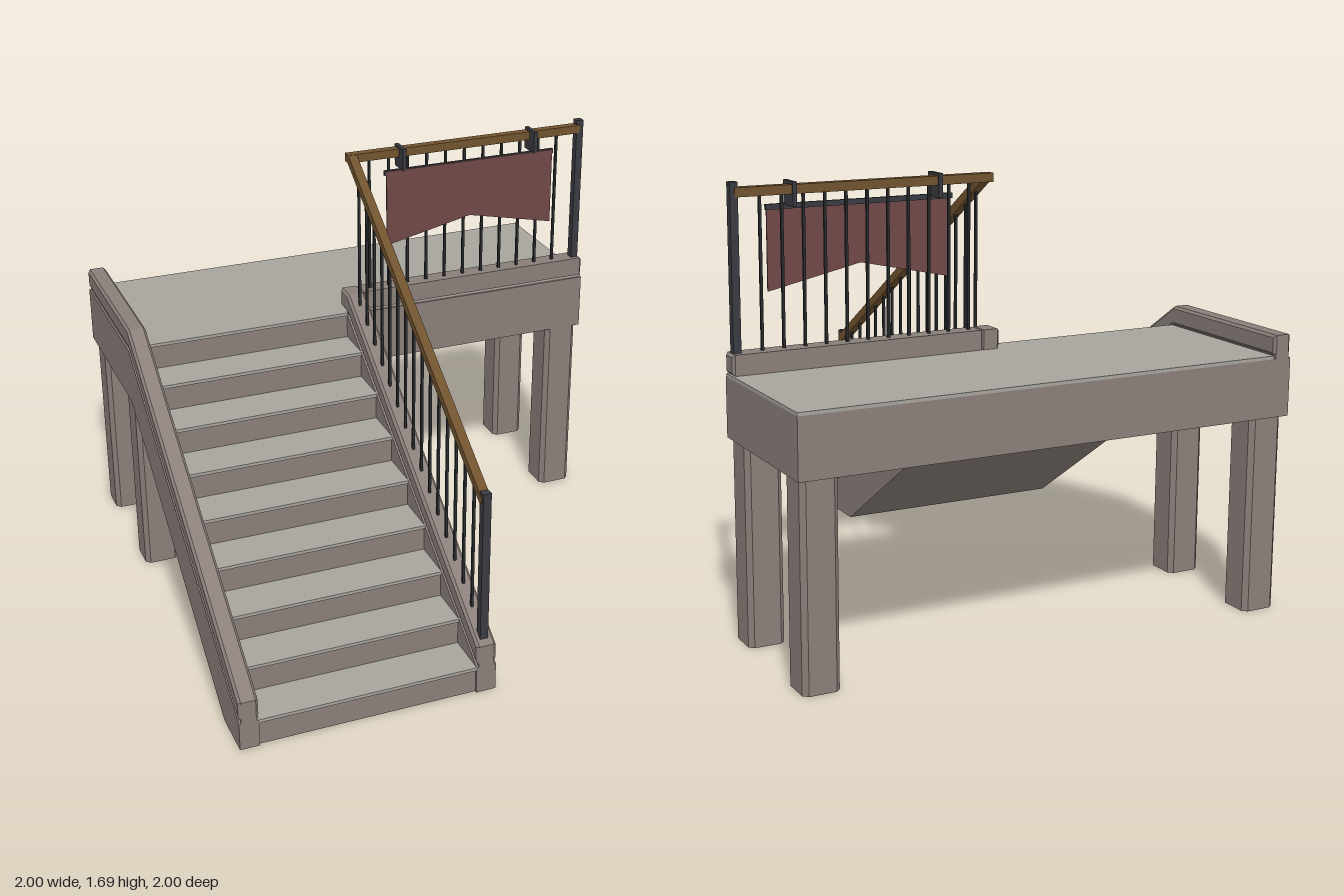
import * as THREE from 'three';

const flat = (name, color) => {
  const m = new THREE.MeshStandardMaterial({ color });
  m.name = name;
  return m;
};

export function createModel() {
  const stone = flat('stone', 0x8a7f7a);
  const paleStone = flat('paleStone', 0xa8a39d);
  const wood = flat('wood', 0x70532f);
  const steel = flat('steel', 0x3a3b41);
  const iron = flat('iron', 0x292b2d);
  const cloth = flat('cloth', 0x714848);
  cloth.side = THREE.DoubleSide;

  const model = new THREE.Group();
  model.name = 'stairAndLanding';

  const add = (name, geometry, material) => {
    const mesh = new THREE.Mesh(geometry, material);
    mesh.name = name;
    model.add(mesh);
    return mesh;
  };
  // Box given by its limits on each axis
  const box = (name, material, [x0, x1], [y0, y1], [z0, z1]) => {
    const mesh = add(name, new THREE.BoxGeometry(x1 - x0, y1 - y0, z1 - z0), material);
    mesh.position.set((x0 + x1) / 2, (y0 + y1) / 2, (z0 + z1) / 2);
    return mesh;
  };
  const shapeOf = (points) => new THREE.Shape(points.map(([a, b]) => new THREE.Vector2(a, b)));
  // Side profile of [z, y] points drawn out along x, with optional chamfer
  const alongX = (name, material, points, x0, x1, bevel = 0) => {
    const g = new THREE.ExtrudeGeometry(shapeOf(points), {
      depth: x1 - x0 - 2 * bevel, bevelEnabled: bevel > 0, bevelSize: bevel,
      bevelThickness: bevel, bevelOffset: -bevel, bevelSegments: 1,
    });
    g.rotateY(-Math.PI / 2).translate(x1 - bevel, 0, 0);
    return add(name, g, material);
  };

  const floorY = 1.003, under = 0.765, front = -0.34;
  const rise = floorY / 9, run = 0.1675, slabT = 0.013;
  const inL = -0.925, inR = -0.078; // inner faces of the side walls

  // Solid stair with sloping underside
  const stair = [[0.81, 0], [0.99, 0]];
  for (let k = 0; k < 8; k++) {
    const y = (k + 1) * rise - slabT;
    stair.push([0.99 - k * run, y], [k < 7 ? 0.99 - (k + 1) * run : front, y]);
  }
  stair.push([front, under]);
  alongX('stairBody', stone, stair, inL, inR);

  // Treads with a small overhang
  for (let k = 0; k < 8; k++) {
    const y = (k + 1) * rise;
    box('tread', paleStone, [inL, inR], [y - slabT, y], [k < 7 ? 0.99 - (k + 1) * run : front, 1 - k * run]);
  }
  box('topNosing', paleStone, [inL, inR], [floorY - slabT, floorY], [-0.348, -0.33]);

  // Side walls: chamfered cap, thin groove and main wall below
  const topLine = (drop, end) => [[1, 0.2 - drop], [-0.335, 1.08 - drop], [end, 1.08 - drop]];
  const band = (a, b, end) => [...topLine(a, end), ...topLine(b, end).reverse()];
  const sideWall = (x0, x1, end) => {
    alongX('wallCap', stone, band(0, 0.077, end), x0, x1, 0.01);
    alongX('wallGroove', stone, band(0.07, 0.095, end), x0 + 0.008, x1 - 0.008);
    alongX('wallBody', stone,
      [...topLine(0.09, end), [end, under], [front, under], [0.81, 0], [1, 0]], x0, x1);
  };
  sideWall(-1, inL, -1);
  sideWall(inR, 0, -0.415);

  // Landing: rim beams around a recess, slab and floor
  const rim = shapeOf([[inL, 0.34], [1, 0.34], [1, 1], [inL, 1]]);
  rim.holes.push(new THREE.Path([[-0.86, 0.48], [-0.86, 0.86], [0.86, 0.86], [0.86, 0.48]]
    .map(([x, y]) => new THREE.Vector2(x, y))));
  const rimGeometry = new THREE.ExtrudeGeometry(rim, { depth: 0.9 - under, bevelEnabled: false });
  rimGeometry.rotateX(-Math.PI / 2).translate(0, under, 0);
  add('rimBeams', rimGeometry, stone);
  box('landingSlab', stone, [inL, 1], [0.9, floorY - slabT], [-1, front]);
  box('landingFloor', paleStone, [inL, 1], [floorY - slabT, floorY], [-1, -0.348]);
  alongX('landingCurb', stone,
    [[front, floorY], [front, 1.08], [-0.415, 1.08], [-0.415, floorY]], -0.01, 1, 0.01);

  // Legs with chamfered corners
  const h = 0.07, c = 0.052;
  const legShape = shapeOf([[-c, -h], [c, -h], [h, -c], [h, c], [c, h], [-c, h], [-h, c], [-h, -c]]);
  const legGeometry = new THREE.ExtrudeGeometry(legShape, { depth: under, bevelEnabled: false });
  legGeometry.rotateX(-Math.PI / 2);
  for (const x of [-0.915, 0.915]) {
    for (const z of [-0.412, -0.914]) add('leg', legGeometry, stone).position.set(x, 0, z);
  }

  // Handrails
  const railX = -0.04, railZ = -0.375;
  const railY = (z) => 0.792 + (0.96 - z) * 0.6515;
  const dz = 0.96 + 0.365, dy = dz * 0.6515;
  const slope = add('stairHandrail', new THREE.BoxGeometry(0.036, 0.034, Math.hypot(dz, dy)), wood);
  slope.position.set(railX, railY(0.96 - dz / 2), 0.96 - dz / 2);
  slope.rotation.x = Math.atan2(dy, dz);
  box('landingHandrail', wood, [-0.058, 0.97], [1.636, 1.67], [railZ - 0.018, railZ + 0.018]);

  // End posts
  box('lowerPost', steel, [-0.056, -0.024], [0.19, 0.83], [0.944, 0.976]);
  box('upperPost', steel, [0.957, 0.987], [1.07, 1.69], [-0.391, -0.359]);

  // Balusters
  const b = 0.005;
  for (let i = 0; i < 15; i++) {
    const z = 0.861 - i * 0.0822;
    box('stairBaluster', iron, [railX - b, railX + b], [0.19 + (1 - z) * 0.659, railY(z)], [z - b, z + b]);
  }
  for (let i = 0; i < 11; i++) {
    const x = 0.037 + i * 0.0834;
    box('landingBaluster', iron, [x - b, x + b], [1.07, 1.645], [railZ - b, railZ + b]);
  }

  // Hanging banner with notched lower edge, its rod and hooks
  const banner = new THREE.ExtrudeGeometry(
    shapeOf([[0.09, 1.28], [0.457, 1.36], [0.825, 1.28], [0.825, 1.595], [0.09, 1.595]]),
    { depth: 0.006, bevelEnabled: false });
  add('banner', banner.translate(0, 0, -0.323), cloth);
  box('bannerRod', steel, [0.083, 0.832], [1.577, 1.597], [-0.334, -0.322]);
  for (const x of [0.166, 0.746]) {
    box('bannerHook', steel, [x - 0.008, x + 0.008], [1.59, 1.68], [-0.4, -0.312]);
  }

  return model;
}
